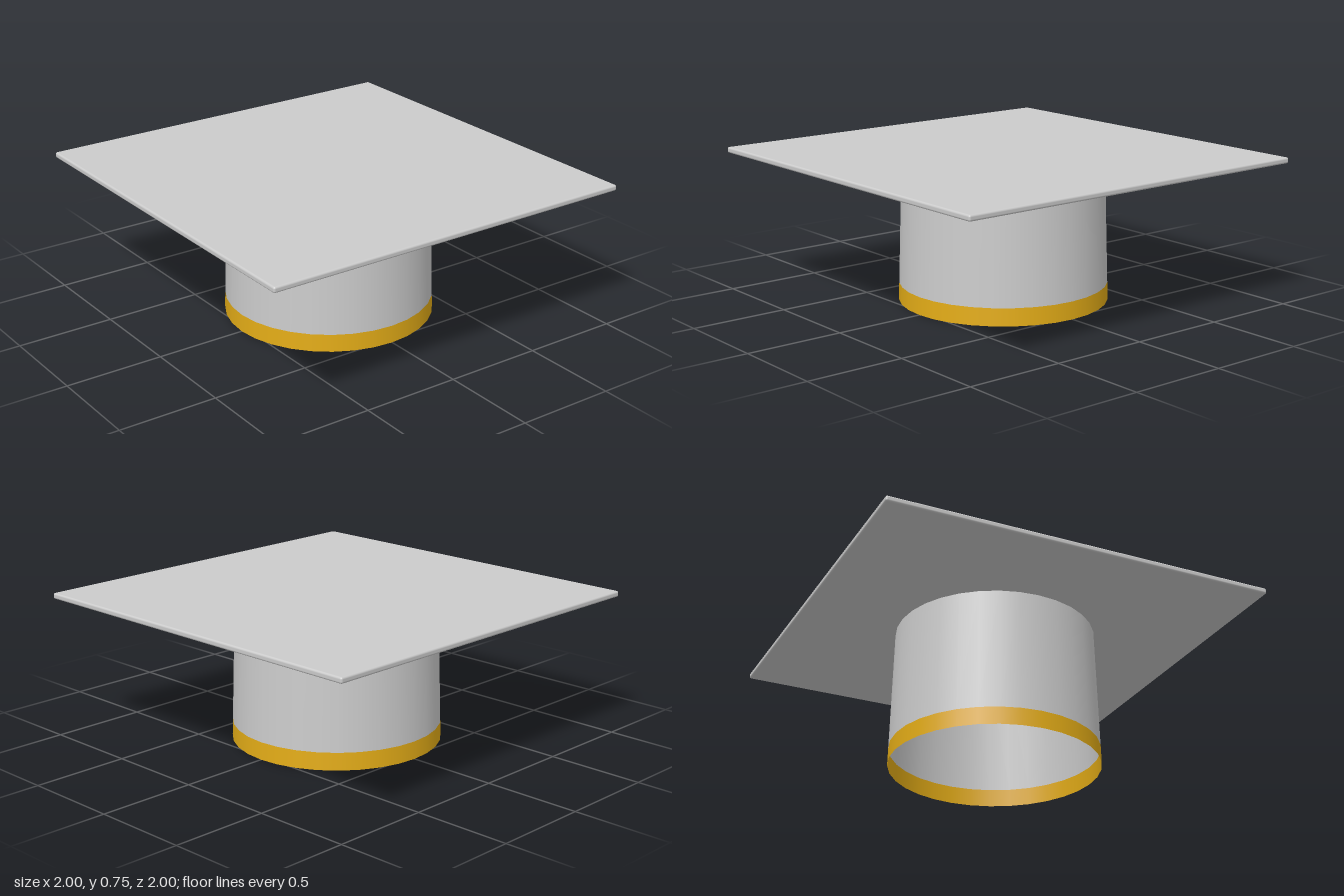
import * as THREE from 'three';
import { RoundedBoxGeometry } from 'three/addons/geometries/RoundedBoxGeometry.js';

const BOARD_BOTTOM = 0.72, BOARD_TOP = 0.75, BAND_TOP = 0.09;
const RIM_RADIUS = 0.533, CROWN_RADIUS = 0.51;

// Radius of the tapered cap at a given height
const radiusAt = (y) => THREE.MathUtils.lerp(RIM_RADIUS, CROWN_RADIUS, y / BOARD_BOTTOM);

// Open, thin section of the tapered cap between two heights
function capSection(name, y0, y1, color) {
  const geometry = new THREE.CylinderGeometry(radiusAt(y1), radiusAt(y0), y1 - y0, 32, 1, true);
  const mesh = new THREE.Mesh(geometry, new THREE.MeshStandardMaterial({ color, side: THREE.DoubleSide }));
  mesh.name = name;
  mesh.position.y = (y0 + y1) / 2;
  return mesh;
}

export function createModel() {
  const model = new THREE.Group();
  model.name = 'graduationCap';

  // Square board with softly rounded edges
  const thickness = BOARD_TOP - BOARD_BOTTOM;
  const board = new THREE.Mesh(
    new RoundedBoxGeometry(2, thickness, 2, 3, 0.01),
    new THREE.MeshStandardMaterial({ color: 0xcccccc })
  );
  board.name = 'board';
  board.position.y = BOARD_BOTTOM + thickness / 2;

  // Hollow head piece, open below, with a gold band around its rim
  model.add(
    board,
    capSection('skullcap', BAND_TOP, BOARD_BOTTOM, 0xcccccc),
    capSection('goldBand', 0, BAND_TOP, 0xe3ac17)
  );
  return model;
}
